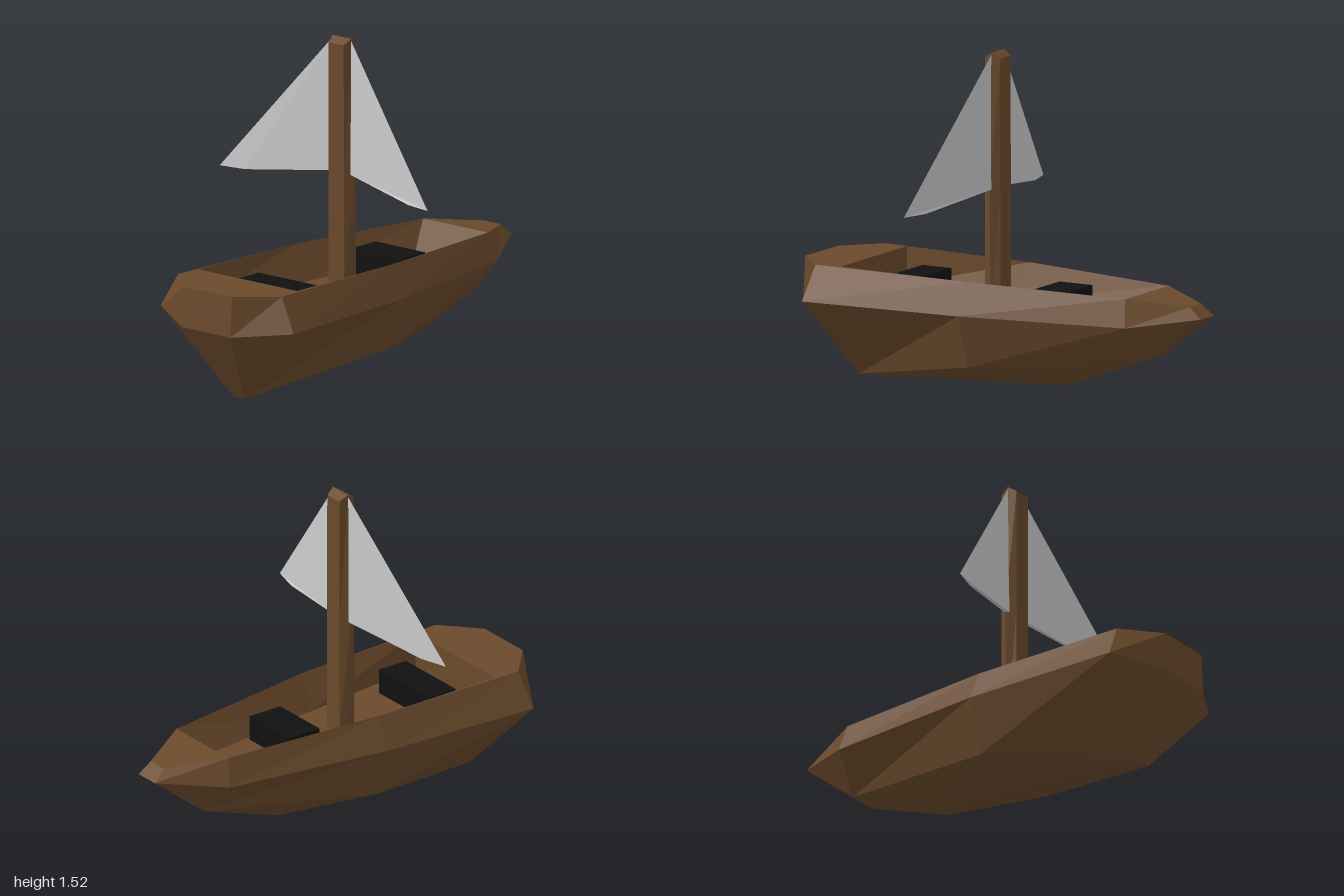
import * as THREE from 'three';

const wood = new THREE.MeshStandardMaterial({ color: 0x6b4a2c, flatShading: true });
const black = new THREE.MeshStandardMaterial({ color: 0x111111, flatShading: true });
const cloth = new THREE.MeshStandardMaterial({ color: 0xcccccc, flatShading: true, side: THREE.DoubleSide });

const flip = ([x, y, z]) => [x, y, -z];
const mirrorFace = (face) => face.map(flip).reverse();

// Mesh from convex faces, each fanned into triangles
function facesMesh(name, faces, material) {
  const pos = [];
  for (const f of faces) {
    for (let i = 1; i < f.length - 1; i++) pos.push(...f[0], ...f[i], ...f[i + 1]);
  }
  const geo = new THREE.BufferGeometry();
  geo.setAttribute('position', new THREE.Float32BufferAttribute(pos, 3));
  geo.computeVertexNormals();
  const mesh = new THREE.Mesh(geo, material);
  mesh.name = name;
  return mesh;
}

function makeHull() {
  // Stations from stern to bow: widest line, rim
  const W = [[-1, 0.345, 0.14], [-0.86, 0.375, 0.39], [-0.08, 0.375, 0.35], [0.71, 0.375, 0.23], [1, 0.415, 0.06]];
  const R = [[-0.99, 0.53, 0.14], [-0.84, 0.53, 0.305], [-0.08, 0.52, 0.28], [0.69, 0.5, 0.19], [0.94, 0.465, 0.05]];
  // Keel, chine, stern deck edge and floor
  const K = [[-0.78, 0, 0.03], [0.3, 0.05, 0.04], [0.74, 0.21, 0.075]];
  const C = [-0.08, 0.13, 0.265];
  const S = [-0.72, 0.53, 0.29];
  const F = [[-0.72, 0.36, 0.29], [-0.08, 0.36, 0.21], [0.56, 0.36, 0.13]];

  const side = [
    // Lower planking
    [K[0], W[1], W[0]], [K[0], K[1], C], [C, K[1], K[2]],
    [C, K[2], W[3], W[2]], [K[2], W[4], W[3]],
    // Inner walls
    [R[1], R[2], S], [S, R[2], F[1], F[0]], [R[2], R[3], F[1]], [F[1], R[3], F[2]],
  ];
  for (let i = 0; i < 4; i++) side.push([W[i], W[i + 1], R[i + 1], R[i]]);
  const faces = [...side, ...side.map(mirrorFace)];

  // Aft quarter panels fold differently on each side
  faces.push([K[0], W[2], W[1]], [K[0], C, W[2]]);
  faces.push(mirrorFace([K[0], C, W[1]]), mirrorFace([C, W[2], W[1]]));

  // Centre strip: transom, decks, floor, stem and keel
  const loop = [W[0], R[0], R[1], S, F[0], F[2], R[3], R[4], W[4], K[2], K[1], K[0]];
  loop.forEach((a, i) => {
    const b = loop[(i + 1) % loop.length];
    faces.push([flip(a), a, b, flip(b)]);
  });
  return facesMesh('hull', faces, wood);
}

function makeMast() {
  // Six-sided section with a ridge on each side
  const ring = (y, ridgeY, zc, zr) => [
    [-0.04, y, zc], [-0.04, y, -zc], [-0.08, ridgeY, -zr],
    [-0.12, y, -zc], [-0.12, y, zc], [-0.08, ridgeY, zr],
  ];
  const rings = [ring(0.35, 0.35, 0.046, 0.062), ring(0.9, 0.9, 0.046, 0.074), ring(1.495, 1.52, 0.044, 0.055)];
  const faces = [];
  for (let k = 0; k < 2; k++) {
    for (let i = 0; i < 6; i++) {
      const j = (i + 1) % 6;
      faces.push([rings[k][i], rings[k][j], rings[k + 1][j], rings[k + 1][i]]);
    }
  }
  const t = rings[2];
  faces.push([t[0], t[1], t[2], t[5]], [t[5], t[2], t[3], t[4]]);
  return facesMesh('mast', faces, wood);
}

// Thin wedge-shaped sail, thickest at the mast
function makeSail(name, mirrored) {
  const top = [-0.08, 1.515, 0.05], tip = [-0.205, 0.85, 0.61];
  const fore = [-0.07, 0.905, 0.06], aft = [-0.095, 0.9, 0.06];
  const foreFoot = [-0.168, 0.85, 0.48], aftFoot = [-0.184, 0.85, 0.48];
  const faces = [
    [top, fore, foreFoot, tip], [top, tip, aftFoot, aft],
    [fore, aft, aftFoot, foreFoot], [foreFoot, aftFoot, tip], [top, aft, fore],
  ].map((f) => [...f].reverse());
  return facesMesh(name, mirrored ? faces.map(mirrorFace) : faces, cloth);
}

function makeSeat(name, x, length, width) {
  const seat = new THREE.Mesh(new THREE.BoxGeometry(length, 0.12, width), black);
  seat.position.set(x, 0.415, -0.005);
  seat.name = name;
  return seat;
}

export function createModel() {
  const boat = new THREE.Group();
  boat.name = 'sailboat';
  boat.add(
    makeHull(),
    makeMast(),
    makeSail('frontSail', false),
    makeSail('backSail', true),
    makeSeat('sternSeat', -0.505, 0.15, 0.365),
    makeSeat('bowSeat', 0.235, 0.17, 0.29),
  );
  return boat;
}
